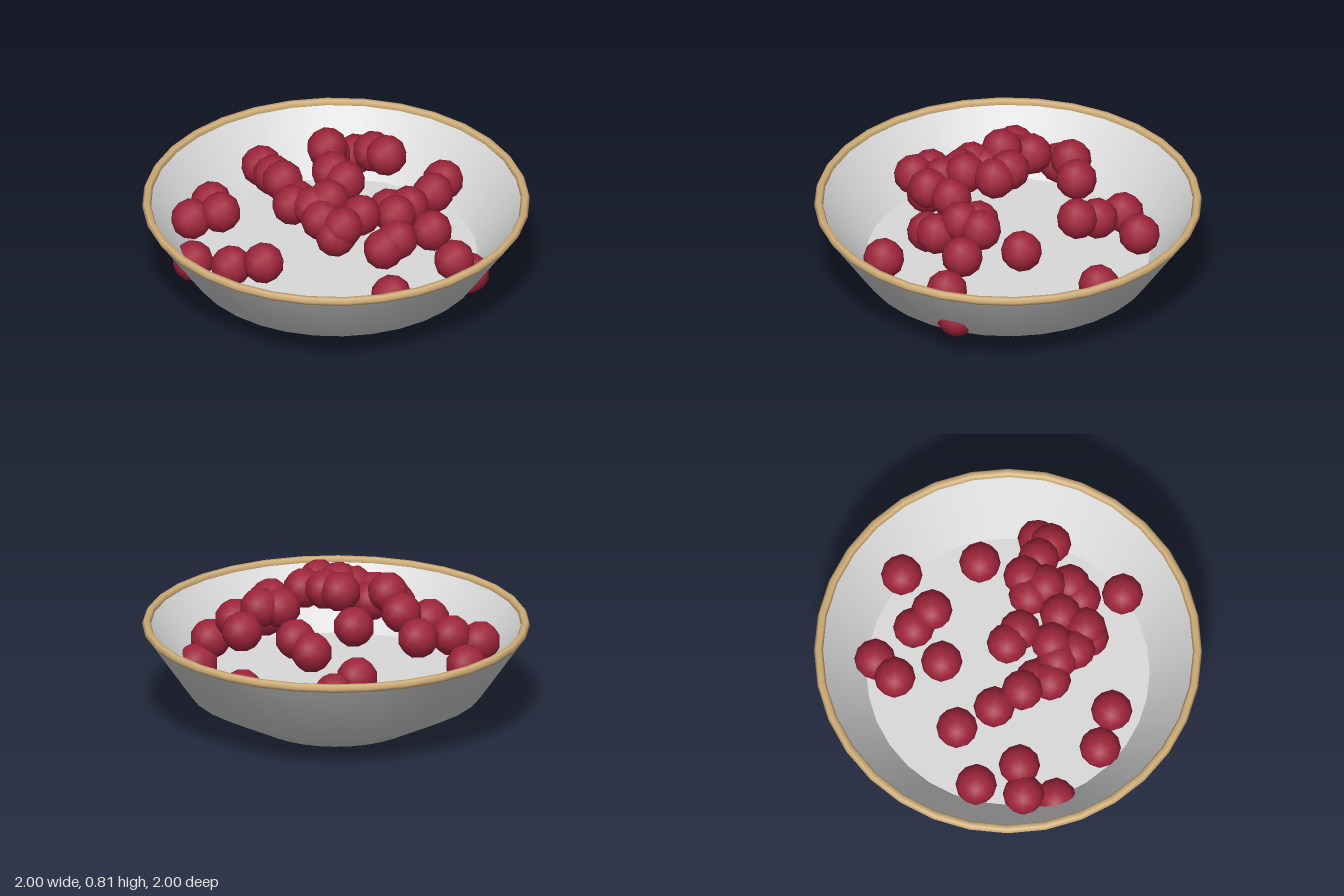
import * as THREE from 'three';

// Berry centres: x, y, z
const BERRIES = [
  // back of the bowl
  [-0.24, 0.36, -0.65], [-0.48, 0.40, -0.57], [-0.60, 0.25, -0.45], [-0.38, 0.44, -0.46],
  [-0.02, 0.54, -0.50], [-0.13, 0.61, -0.32], [0.23, 0.63, -0.27],
  // left and right sides
  [0.42, 0.44, -0.42], [0.57, 0.39, -0.38], [0.47, 0.54, -0.17], [0.44, 0.58, -0.05],
  [0.72, 0.36, 0.09], [0.39, 0.53, 0.32], [-0.66, 0.38, -0.13], [-0.61, 0.45, 0.05],
  // heap
  [-0.21, 0.67, -0.18], [-0.29, 0.62, -0.04], [-0.22, 0.60, -0.07], [-0.01, 0.70, -0.02],
  [-0.02, 0.69, 0.08], [-0.26, 0.64, 0.07], [-0.19, 0.67, 0.12], [-0.30, 0.62, 0.17],
  [-0.31, 0.57, 0.28], [-0.28, 0.62, 0.30], [-0.13, 0.62, 0.29],
  // front of the bowl
  [-0.14, 0.49, 0.46], [-0.06, 0.52, 0.48], [0.07, 0.57, 0.30], [0.15, 0.58, 0.37],
  [0.03, 0.59, 0.39], [0.16, 0.49, 0.52], [0.18, 0.36, 0.66], [0.27, 0.25, 0.68],
  [-0.28, 0.35, 0.64],
];

function material(name, color) {
  const m = new THREE.MeshStandardMaterial({ color });
  m.name = name;
  return m;
}

function lathe(points, segments = 32) {
  return new THREE.LatheGeometry(points.map(([r, y]) => new THREE.Vector2(r, y)), segments);
}

export function createModel() {
  const model = new THREE.Group();
  model.name = 'bowlOfBerries';

  const ceramic = material('ceramic', 0xdadada);
  const tan = material('tanRim', 0xd2b07a);
  const red = material('berryRed', 0x9e243b);

  const add = (parent, name, geometry, mat, x = 0, y = 0, z = 0) => {
    const mesh = new THREE.Mesh(geometry, mat);
    mesh.name = name;
    mesh.position.set(x, y, z);
    parent.add(mesh);
    return mesh;
  };

  // Bowl: outer shell, inner wall and flat floor
  const bowl = new THREE.Group();
  bowl.name = 'bowl';
  model.add(bowl);
  add(bowl, 'outerShell', lathe([[0, 0], [0.42, 0], [0.76, 0.175], [0.995, 0.515]]), ceramic);
  add(bowl, 'innerWall', lathe([[0.955, 0.515], [0.73, 0.21]]), ceramic);
  add(bowl, 'floor', new THREE.CircleGeometry(0.73, 32), ceramic, 0, 0.21, 0).rotation.x = -Math.PI / 2;

  // Rim ring
  add(model, 'rim', new THREE.TorusGeometry(0.976, 0.023, 6, 32), tan, 0, 0.52, 0).rotation.x = Math.PI / 2;

  // Berries
  const berries = new THREE.Group();
  berries.name = 'berries';
  model.add(berries);
  const berryShape = new THREE.IcosahedronGeometry(0.107, 1);
  BERRIES.forEach(([x, y, z], i) => add(berries, `berry${i + 1}`, berryShape, red, x, y, z));

  return model;
}
